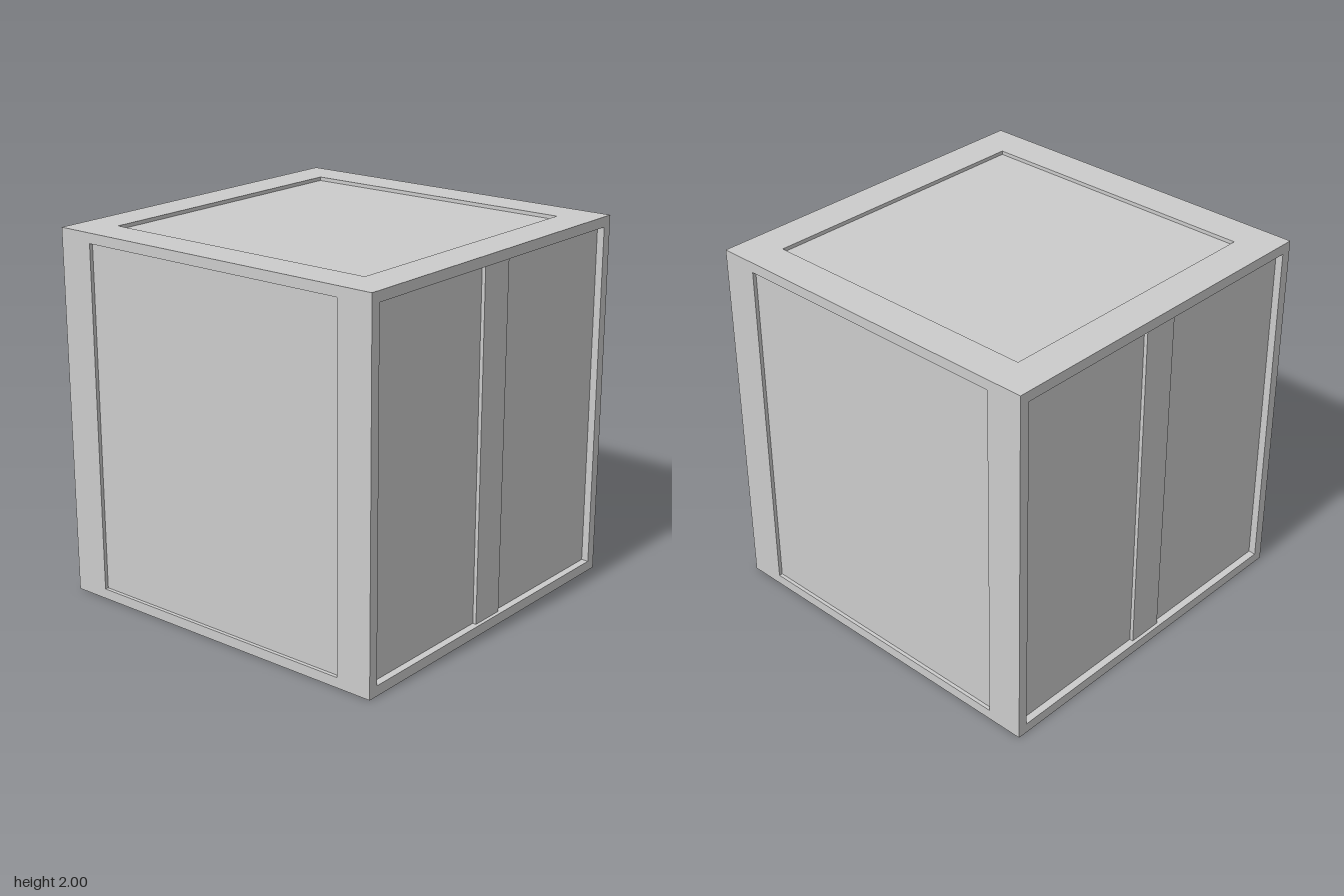
import * as THREE from 'three';

const material = new THREE.MeshStandardMaterial({ color: 0xcccccc, flatShading: true });
const SHALLOW = 0.02; // recess depth of front, back, top and bottom
const DEEP = 0.04; // recess depth of the two sides

function rectangle(PathType, halfW, halfH) {
  return new PathType([
    [-halfW, -halfH], [halfW, -halfH], [halfW, halfH], [-halfW, halfH],
  ].map(([x, y]) => new THREE.Vector2(x, y)));
}

// Rectangular rim whose outer face lies one unit from the cube's centre
function rim(name, halfW, halfH, openW, openH, depth, rotX, rotY) {
  const shape = rectangle(THREE.Shape, halfW, halfH);
  shape.holes.push(rectangle(THREE.Path, openW, openH));
  const geometry = new THREE.ExtrudeGeometry(shape, { depth, bevelEnabled: false });
  geometry.translate(0, 0, 1 - depth);
  const mesh = new THREE.Mesh(geometry, material);
  mesh.name = name;
  mesh.rotation.set(rotX, rotY, 0);
  return mesh;
}

function box(name, w, h, d, x = 0) {
  const mesh = new THREE.Mesh(new THREE.BoxGeometry(w, h, d), material);
  mesh.name = name;
  mesh.position.x = x;
  return mesh;
}

export function createModel() {
  const crate = new THREE.Group();
  crate.name = 'crate';
  crate.position.y = 1;

  // Core supplies the sunken panels of all six faces
  const inner = 1 - SHALLOW;
  const innerX = 1 - DEEP;
  crate.add(box('core', 2 * innerX, 2 * inner, 2 * inner));

  // Rims of the front, back, top and bottom
  const q = Math.PI / 2;
  crate.add(
    rim('frontRim', innerX, inner, 0.8, 0.945, SHALLOW, 0, 0),
    rim('backRim', innerX, inner, 0.8, 0.945, SHALLOW, 0, Math.PI),
    rim('topRim', innerX, 1, 0.8, 0.8, SHALLOW, -q, 0),
    rim('bottomRim', innerX, 1, 0.8, 0.8, SHALLOW, q, 0),
  );

  // Side rims, each with a low upright strip down the middle
  for (const [side, s] of [['left', 1], ['right', -1]]) {
    crate.add(rim(side + 'Rim', 1, 1, 0.945, 0.945, DEEP, 0, s * q));
    crate.add(box(side + 'Strip', 0.02, 1.89, 0.2, s * (innerX + 0.01)));
  }

  const model = new THREE.Group();
  model.add(crate);
  return model;
}
